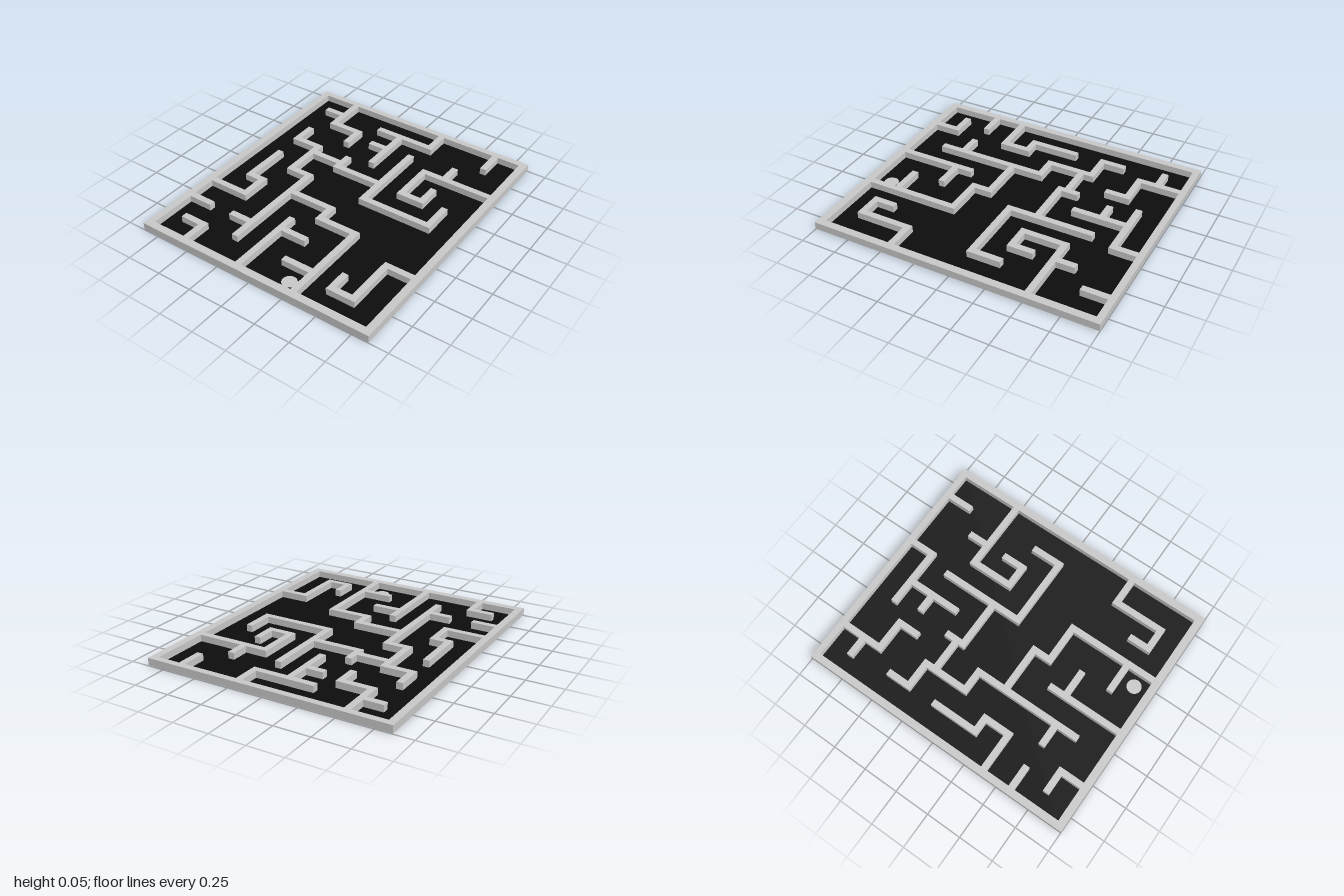
import * as THREE from 'three';

const TOP = 0.055;      // height of every wall
const FRAME_BASE = 0.004;
const WALL = 0.045;     // wall thickness

// Centre lines of the maze walls as [x, z] points
const WALL_PATHS = {
  backLeftWalls: [
    [[-0.555, -0.96], [-0.555, -0.665], [-0.337, -0.665], [-0.337, -0.53]],
    [[-0.69, -0.795], [-0.555, -0.795]],
  ],
  backMiddleWalls: [
    [[0.195, -0.96], [0.195, -0.79], [-0.217, -0.79]],
    [[-0.048, -0.79], [-0.048, -0.42]],
    [[-0.168, -0.605], [-0.048, -0.605]],
  ],
  backRightWalls: [
    [[0.632, -0.96], [0.632, -0.797]],
    [[0.82, -0.517], [0.312, -0.517], [0.312, -0.222], [0.47, -0.222], [0.47, -0.358]],
    [[0.47, -0.517], [0.47, -0.647]],
  ],
  centreWalls: [
    [[0.136, -0.61], [0.136, -0.028], [0.635, -0.028], [0.635, -0.22]],
    [[0.136, -0.227], [-0.216, -0.227], [-0.216, -0.343]],
    [[-0.216, -0.275], [-0.465, -0.275]],
    [[-0.655, -0.493], [-0.655, -0.347], [-0.465, -0.347], [-0.465, -0.028],
      [-0.312, -0.028], [-0.312, 0.735]],
    [[-0.46, 0.59], [-0.312, 0.59]],
    [[-0.312, 0.184], [0.025, 0.184], [0.025, 0.308], [0.3, 0.308], [0.3, 0.945]],
    [[0.094, 0.748], [0.3, 0.748]],
  ],
  frontLeftWalls: [
    [[-0.652, -0.128], [-0.652, 0.19], [-0.544, 0.19], [-0.544, 0.377], [-0.82, 0.377]],
    [[-0.82, 0.59], [-0.668, 0.59]],
    [[-0.694, 0.785], [-0.55, 0.785], [-0.55, 0.945]],
  ],
  frontMiddleWalls: [
    [[-0.123, 0.428], [-0.123, 0.945]],
    [[-0.123, 0.53], [0.062, 0.53]],
  ],
  frontRightWalls: [
    [[0.82, 0.447], [0.626, 0.447], [0.626, 0.8], [0.467, 0.8], [0.467, 0.673]],
  ],
};

// Adds a clockwise or anticlockwise rectangle to a shape or path
function rectangle(path, x0, z0, x1, z1) {
  path.moveTo(x0, z0);
  path.lineTo(x1, z0);
  path.lineTo(x1, z1);
  path.lineTo(x0, z1);
  path.closePath();
  return path;
}

// One straight wall, extended by half its thickness so corners close
function wallSegment([x0, z0], [x1, z1], material) {
  const height = TOP - FRAME_BASE;
  const geometry = new THREE.BoxGeometry(
    Math.abs(x1 - x0) + WALL, height, Math.abs(z1 - z0) + WALL);
  const mesh = new THREE.Mesh(geometry, material);
  mesh.position.set((x0 + x1) / 2, FRAME_BASE + height / 2, (z0 + z1) / 2);
  mesh.name = 'wall';
  return mesh;
}

export function createModel() {
  const model = new THREE.Group();
  model.name = 'mazeBoard';
  const grey = new THREE.MeshStandardMaterial({ color: 0xcccccc });
  const black = new THREE.MeshStandardMaterial({ color: 0x0d0d0d });
  const white = new THREE.MeshStandardMaterial({ color: 0xffffff });

  // Outer frame: a rectangular ring
  const ring = rectangle(new THREE.Shape(), -0.867, -1, 0.867, 1);
  ring.holes.push(rectangle(new THREE.Path(), -0.817, -0.955, 0.815, 0.947));
  const frameGeometry = new THREE.ExtrudeGeometry(ring, {
    depth: TOP - FRAME_BASE, bevelEnabled: false,
  });
  frameGeometry.rotateX(Math.PI / 2).translate(0, TOP, 0);
  const frame = new THREE.Mesh(frameGeometry, grey);
  frame.name = 'frame';
  model.add(frame);

  // Black floor panel, set slightly under the frame
  const floor = new THREE.Mesh(new THREE.BoxGeometry(1.7, 0.006, 1.94), black);
  floor.position.set(0.005, 0.005, -0.02);
  floor.name = 'floor';
  model.add(floor);

  // Maze walls
  for (const [name, paths] of Object.entries(WALL_PATHS)) {
    const group = new THREE.Group();
    group.name = name;
    for (const path of paths) {
      for (let i = 1; i < path.length; i++) {
        group.add(wallSegment(path[i - 1], path[i], grey));
      }
    }
    model.add(group);
  }

  // White goal disc, showing on both faces of the floor
  const goal = new THREE.Mesh(new THREE.CylinderGeometry(0.05, 0.05, 0.011, 32), white);
  goal.position.set(0.204, 0.0055, 0.862);
  goal.name = 'goalDisc';
  model.add(goal);

  return model;
}
